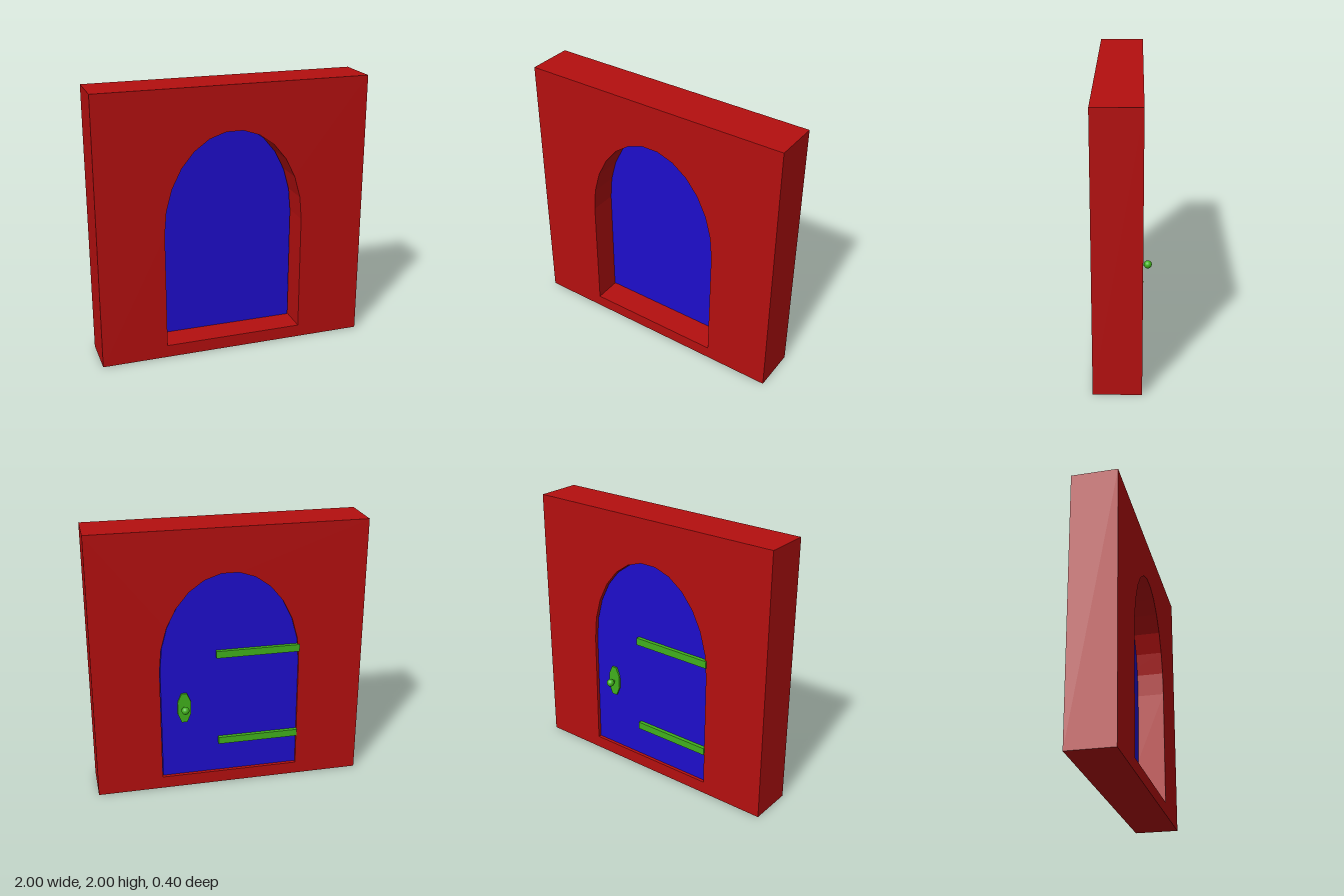
import * as THREE from 'three';

const BACK = -0.133, FRONT = 0.2;

const material = (color, flatShading = true) => new THREE.MeshStandardMaterial({ color, flatShading });

function addMesh(parent, name, geometry, mat, x = 0, y = 0, z = 0) {
  const mesh = new THREE.Mesh(geometry, mat);
  mesh.name = name;
  mesh.position.set(x, y, z);
  parent.add(mesh);
  return mesh;
}

// Arched outline: straight sides topped by a faceted half ellipse
function archPoints(left, right, bottom, spring, top, segments = 13) {
  const cx = (left + right) / 2, rx = (right - left) / 2;
  const points = [new THREE.Vector2(left, bottom), new THREE.Vector2(right, bottom)];
  for (let i = 0; i <= segments; i++) {
    const a = (i / segments) * Math.PI;
    points.push(new THREE.Vector2(cx + rx * Math.cos(a), spring + (top - spring) * Math.sin(a)));
  }
  return points;
}

const extrude = (shape, depth) => new THREE.ExtrudeGeometry(shape, { depth, bevelEnabled: false });

export function createModel() {
  const model = new THREE.Group();
  model.name = 'archedDoorway';
  const red = material(0xb40f0f);
  const blue = material(0x1e0dcc);
  const green = material(0x40b01c);
  const greenSmooth = material(0x40b01c, false);

  // Wall with an arched opening
  const wall = new THREE.Shape([[-1, 0], [1, 0], [1, 2], [-1, 2]].map(p => new THREE.Vector2(...p)));
  wall.holes.push(new THREE.Path(archPoints(-0.518, 0.516, 0.093, 0.965, 1.677)));
  addMesh(model, 'wall', extrude(wall, FRONT - BACK), red, 0, 0, BACK);

  // Door leaf, recessed deeply at the front and slightly at the back
  const doorBack = -0.115;
  const door = new THREE.Group();
  door.name = 'door';
  model.add(door);
  const leaf = new THREE.Shape(archPoints(-0.518, 0.509, 0.098, 0.965, 1.675));
  addMesh(door, 'doorLeaf', extrude(leaf, 0.115), blue, 0, 0, doorBack);

  // Strap hinges
  for (const [name, y, end] of [['upperHinge', 1.063, 0.1], ['lowerHinge', 0.36, 0.086]]) {
    const width = end + 0.52;
    addMesh(door, name, new THREE.BoxGeometry(width, 0.054, 0.03), green, end - width / 2, y, -0.128);
  }

  // Handle: elongated octagonal plate, stem and round knob
  const handle = new THREE.Group();
  handle.name = 'handle';
  handle.position.set(0.34, 0.655, 0);
  door.add(handle);
  const plate = new THREE.CylinderGeometry(1, 1, 0.015, 8).rotateY(Math.PI / 8).rotateX(Math.PI / 2).scale(0.053, 0.125, 1);
  addMesh(handle, 'handlePlate', plate, green, 0, 0, -0.1215);
  const stem = new THREE.CylinderGeometry(0.007, 0.007, 0.05, 12).rotateX(Math.PI / 2);
  addMesh(handle, 'knobStem', stem, greenSmooth, 0, 0, -0.14);
  addMesh(handle, 'knob', new THREE.SphereGeometry(0.029, 20, 14), greenSmooth, 0, 0, -0.172);

  return model;
}
